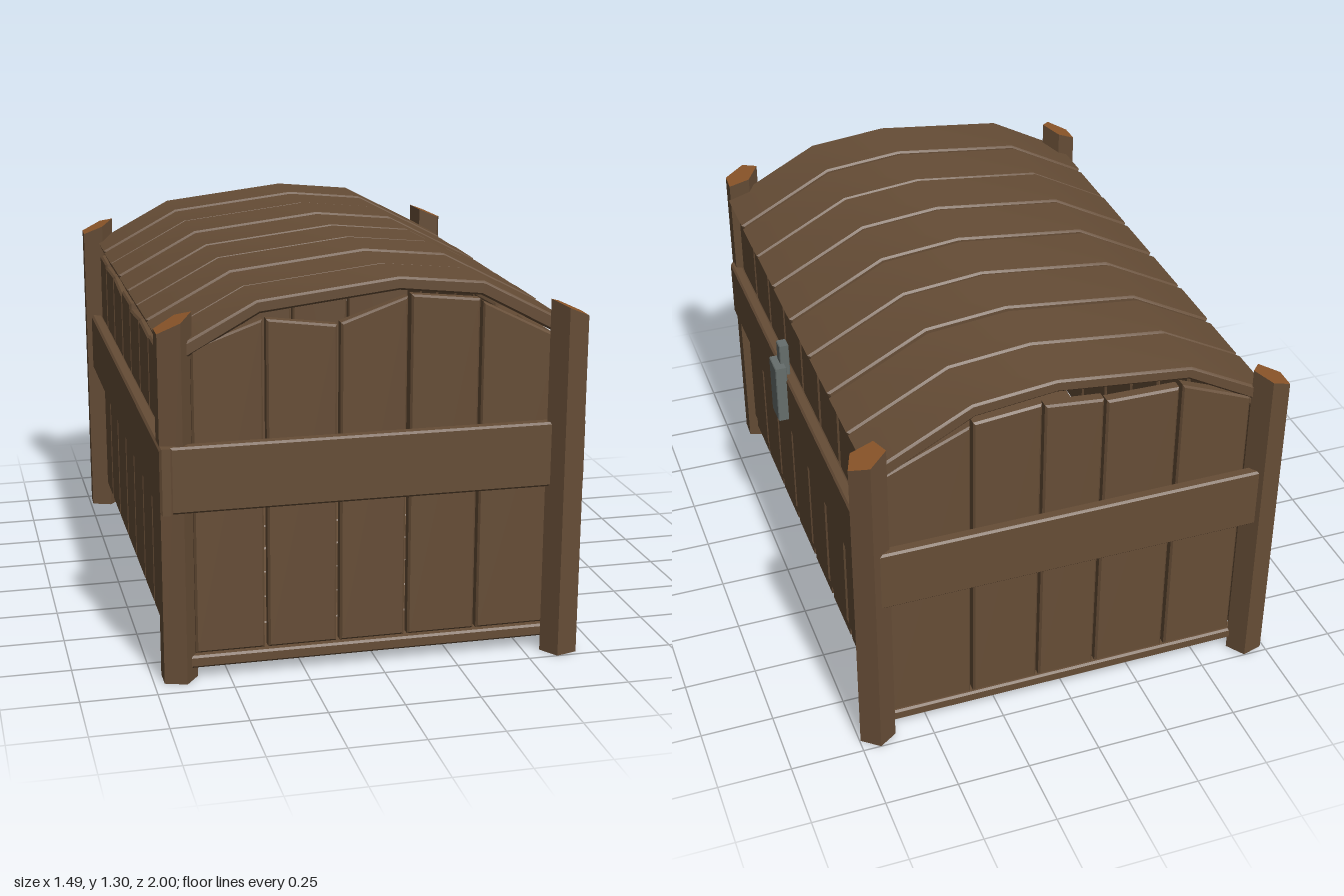
import * as THREE from 'three';
import { toCreasedNormals } from 'three/addons/utils/BufferGeometryUtils.js';

const mat = (name, color) => {
  const m = new THREE.MeshStandardMaterial({ color });
  m.name = name;
  return m;
};

export function createModel() {
  const wood = mat('wood', 0x664d36);
  const endGrain = mat('endGrain', 0x8e572a);
  const iron = mat('iron', 0x666e6c);
  const chest = new THREE.Group();
  chest.name = 'chest';

  // Bevelled board: outline in x/y, spanning z0..z1
  const board = (name, points, z0, z1, parent, material = wood, b = 0.007) => {
    const shape = new THREE.Shape(points.map(([x, y]) => new THREE.Vector2(x, y)));
    const geo = new THREE.ExtrudeGeometry(shape, {
      depth: z1 - z0 - 2 * b, bevelThickness: b, bevelSize: b, bevelOffset: -b, bevelSegments: 1,
    });
    geo.translate(0, 0, z0 + b);
    const mesh = new THREE.Mesh(toCreasedNormals(geo, 0.6), material);
    mesh.name = name;
    parent.add(mesh);
    return mesh;
  };
  const rect = (x0, x1, y0, y1) => [[x0, y0], [x1, y0], [x1, y1], [x0, y1]];

  // Walls: rows of [start, end, top at start, top at end], facing outward along local z
  const wall = (name, turn, outer, planks, band) => {
    const g = new THREE.Group();
    g.name = name;
    g.rotation.y = turn;
    for (const [a, b, ta, tb] of planks) {
      board('wallPlank', [[a, 0.09], [b, 0.09], [b, tb], [a, ta]], outer - 0.045, outer, g);
    }
    board('band', rect(band[0], band[1], 0.585, 0.805), outer, outer + 0.042, g);
    chest.add(g);
  };
  wall('frontWall', 0, 0.912, [
    [-0.61, -0.382, 1.11, 1.19], [-0.37, -0.142, 1.19, 1.16], [-0.13, 0.088, 1.165, 1.24],
    [0.1, 0.328, 1.245, 1.22], [0.338, 0.6, 1.21, 1.08],
  ], [-0.69, 0.63]);
  wall('backWall', Math.PI, 0.942, [
    [-0.63, -0.348, 1.08, 1.2], [-0.338, -0.11, 1.21, 1.23], [-0.1, 0.1, 1.22, 1.2],
    [0.11, 0.36, 1.19, 1.185], [0.372, 0.62, 1.19, 1.09],
  ], [-0.68, 0.68]);
  wall('rightWall', Math.PI / 2, 0.646, [
    [-0.92, -0.68, 1.05, 1.05], [-0.67, -0.465, 1.05, 1.05], [-0.455, -0.24, 1.04, 1.03],
    [-0.23, -0.005, 1.04, 1.03], [0.005, 0.22, 1.05, 1.05], [0.235, 0.46, 1.01, 1.04],
    [0.475, 0.69, 1.05, 1.03], [0.705, 0.93, 1.05, 1.05],
  ], [-0.945, 0.93]);
  wall('leftWall', -Math.PI / 2, 0.68, [
    [-0.93, -0.705, 1.05, 1.05], [-0.69, -0.475, 1.04, 1.05], [-0.46, -0.235, 1.05, 1.03],
    [-0.22, -0.005, 1.05, 1.05], [0.005, 0.23, 1.03, 1.05], [0.24, 0.455, 1.05, 1.04],
    [0.465, 0.67, 1.05, 1.05], [0.68, 0.91, 1.05, 1.05],
  ], [-0.93, 0.96]);

  // Arched lid boards and floor boards, eight along the depth
  const arch = [
    [-0.685, 1.1], [-0.4, 1.252], [0.06, 1.305], [0.34, 1.277], [0.68, 1.1],
    [0.66, 1.055], [0.33, 1.232], [0.06, 1.262], [-0.39, 1.21], [-0.665, 1.058],
  ].reverse();
  const edges = [
    [-0.94, -0.717], [-0.707, -0.493], [-0.48, -0.255], [-0.24, -0.013],
    [0.002, 0.227], [0.235, 0.458], [0.466, 0.686], [0.695, 0.915],
  ];
  edges.forEach(([z0, z1], i) => {
    const lid = board('lidBoard', arch, z0, z1, chest);
    lid.position.y = [0, -0.004, 0, -0.003, -0.002, 0, -0.004, 0][i];
    board('floorBoard', rect(-0.64, 0.64, 0.042, 0.084), z0 - 0.002, z1 + 0.005, chest);
  });

  // Five-sided corner posts with slanted tops: x, z, height, slope, turn in degrees
  const posts = [
    ['frontRightPost', 0.62, 0.94, 1.185, -0.45, 52],
    ['frontLeftPost', -0.665, 0.885, 1.19, 0.5, 18],
    ['backLeftPost', -0.688, -0.938, 1.16, 0.45, 16],
    ['backRightPost', 0.685, -0.936, 1.165, -0.43, 33],
  ];
  for (const [name, x, z, h, slope, turn] of posts) {
    const geo = new THREE.CylinderGeometry(0.064, 0.064, h, 5).toNonIndexed();
    geo.rotateY(THREE.MathUtils.degToRad(turn)).translate(0, h / 2, 0);
    const p = geo.attributes.position;
    for (let i = 0; i < p.count; i++) {
      if (p.getY(i) > h / 2) p.setY(i, h + slope * p.getX(i));
    }
    const post = new THREE.Mesh(toCreasedNormals(geo, 0.3), [wood, endGrain, endGrain]);
    post.name = name;
    post.position.set(x, 0, z);
    chest.add(post);
  }

  // Latch on the right side
  const latch = new THREE.Group();
  latch.name = 'latch';
  latch.rotation.y = Math.PI / 2;
  board('latchPlate', rect(-0.165, -0.075, 0.632, 0.855), 0.684, 0.726, latch, iron, 0.003);
  board('latchTongue', rect(-0.15, -0.105, 0.8, 0.928), 0.665, 0.7, latch, iron, 0.003);
  chest.add(latch);

  return chest;
}
